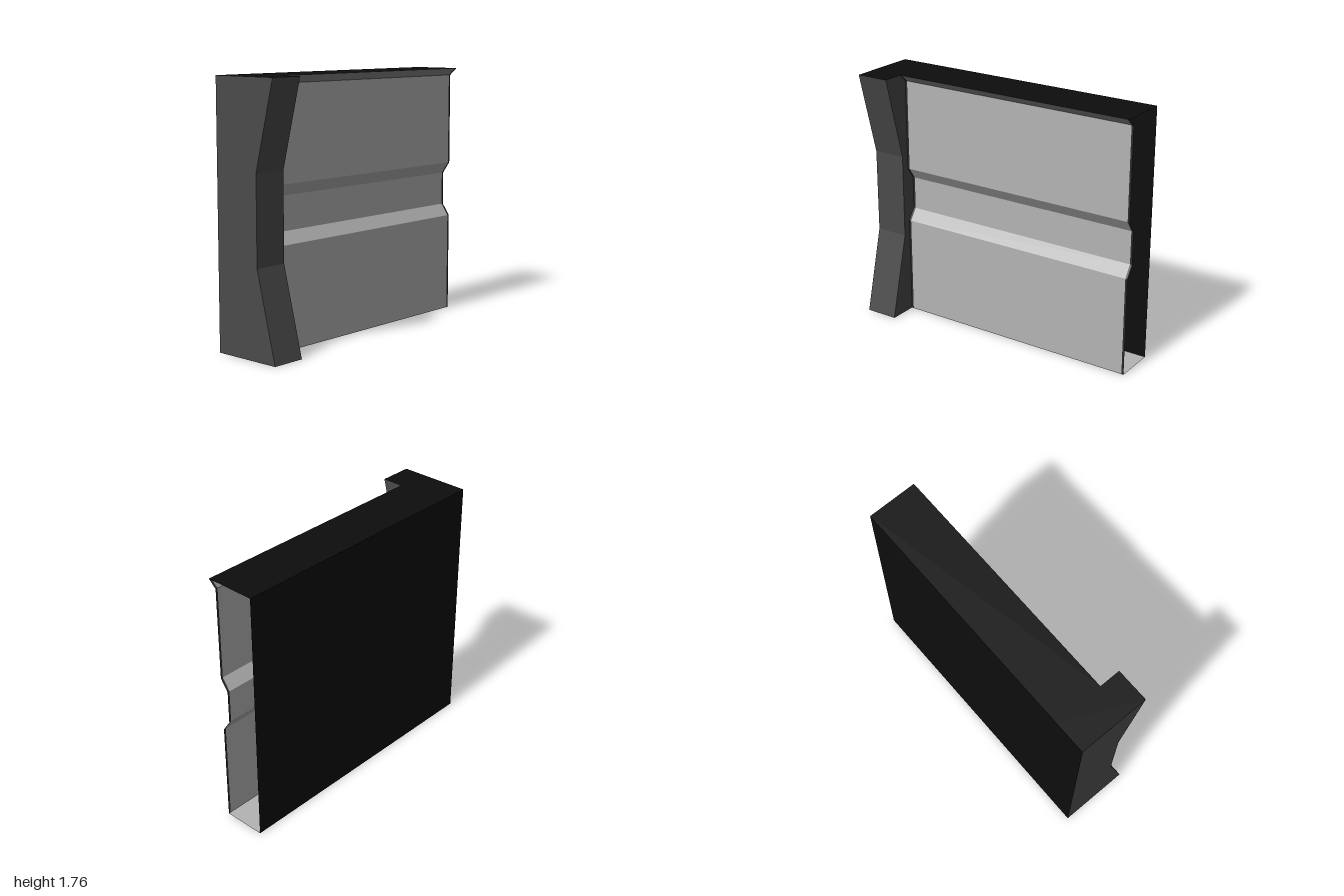
import * as THREE from 'three';

const mat = (name, color) => {
  const m = new THREE.MeshStandardMaterial({ color, side: THREE.DoubleSide });
  m.name = name;
  return m;
};

export function createModel() {
  const group = new THREE.Group();
  const lightGrey = mat('light grey panel', 0xb4b4b4);
  const trimGrey = mat('trim grey', 0x868c86);
  const darkGrey = mat('dark grey pillar', 0x4b4b4b);
  const charcoal = mat('charcoal strip', 0x2c2c2c);
  const black = mat('black shell', 0x0d0d0d);

  const H = 1.765, BACK = -0.25, LID = 0.1, FRONT = 0.045, INSET = -0.01;
  const PILLAR_X = -0.765, STRIP = 0.016;

  const add = (name, geometry, material) => {
    const mesh = new THREE.Mesh(geometry, material);
    mesh.name = name;
    group.add(mesh);
    return mesh;
  };

  // Flat-faced ribbon: a [z, y] profile swept along x
  const ribbon = (name, profile, x0, x1, material) => {
    const pos = [];
    for (let i = 0; i < profile.length - 1; i++) {
      const [z0, y0] = profile[i], [z1, y1] = profile[i + 1];
      pos.push(x0, y0, z0, x1, y0, z0, x1, y1, z1);
      pos.push(x0, y0, z0, x1, y1, z1, x0, y1, z1);
    }
    const g = new THREE.BufferGeometry();
    g.setAttribute('position', new THREE.Float32BufferAttribute(pos, 3));
    g.computeVertexNormals();
    return add(name, g, material);
  };

  // Wall panel with a recessed horizontal band
  const panel = [[FRONT, 0], [FRONT, 0.69], [INSET, 0.77], [INSET, 1.0], [FRONT, 1.08], [FRONT, 1.715]];
  const cornice = [[FRONT, 1.715], [LID, H]];
  const xa = PILLAR_X + STRIP, xb = 1 - STRIP;
  ribbon('wallPanel', panel, xa, xb, lightGrey);
  ribbon('topTrim', cornice, xa, xb, trimGrey);
  ribbon('floor', [[BACK, 0], [FRONT, 0]], PILLAR_X, 1, lightGrey);

  // Dark strips at both ends of the panel
  for (const x of [PILLAR_X, xb]) {
    ribbon('edgeStrip', [...panel, cornice[1]], x, x + STRIP, charcoal);
  }

  // Back sheet and lid; the +x end stays open
  ribbon('backAndLid', [[LID, H], [BACK, H], [BACK, 0]], PILLAR_X, 1, black);

  // Pillar with a waisted front
  const waist = [[0.25, 0], [LID, 0.59], [LID, 1.18], [0.25, H]];
  ribbon('pillarFront', waist, -1, PILLAR_X, darkGrey);
  ribbon('pillarShell', [[0.25, H], [BACK, H], [BACK, 0], [0.25, 0]], -1, PILLAR_X, black);

  // Pillar sides
  const outline = [...waist, [BACK, H], [BACK, 0]];
  for (const s of [-1, 1]) {
    const shape = new THREE.Shape(outline.map(([z, y]) => new THREE.Vector2(-s * z, y)));
    const side = add('pillarSide', new THREE.ShapeGeometry(shape), darkGrey);
    side.rotation.y = s * Math.PI / 2;
    side.position.x = s < 0 ? -1 : PILLAR_X;
  }

  return group;
}
